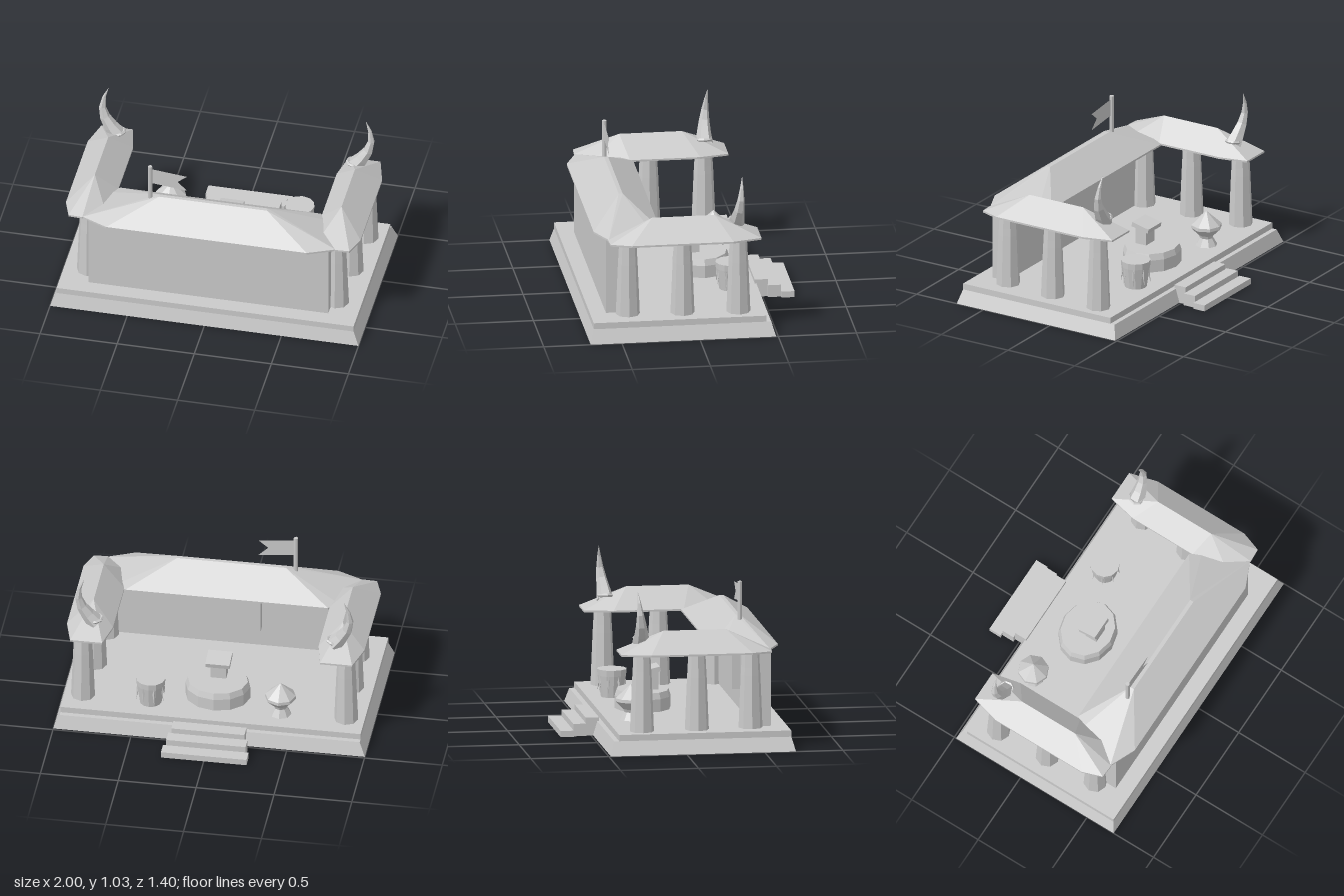
import * as THREE from 'three';
import { ConvexGeometry } from 'three/addons/geometries/ConvexGeometry.js';

const stone = new THREE.MeshStandardMaterial({ color: 0xcacaca, flatShading: true, side: THREE.DoubleSide });
stone.name = 'paleStone';

const V = (x, y, z) => new THREE.Vector3(x, y, z);

export function createModel() {
  const model = new THREE.Group();

  const add = (name, geometry, x = 0, y = 0, z = 0) => {
    const mesh = new THREE.Mesh(geometry, stone);
    mesh.name = name;
    mesh.position.set(x, y, z);
    model.add(mesh);
    return mesh;
  };

  // box given by its limits
  const box = (name, x0, x1, y0, y1, z0, z1) =>
    add(name, new THREE.BoxGeometry(x1 - x0, y1 - y0, z1 - z0),
      (x0 + x1) / 2, (y0 + y1) / 2, (z0 + z1) / 2);

  // hollow box without an underside, narrowing from bottom to top limits [halfWidth, y, zBack, zFront]
  const shell = (name, bottom, top) => {
    const geometry = new THREE.BoxGeometry(2, 2, 2);
    const index = Array.from(geometry.index.array);
    index.splice(18, 6);
    geometry.setIndex(index);
    const p = geometry.attributes.position;
    for (let i = 0; i < p.count; i++) {
      const [w, y, zBack, zFront] = p.getY(i) > 0 ? top : bottom;
      p.setXYZ(i, p.getX(i) * w, y, p.getZ(i) > 0 ? zFront : zBack);
    }
    return add(name, geometry);
  };

  // faceted turned shape from [radius, height] pairs
  const turned = (name, profile, sides, x, z) =>
    add(name, new THREE.LatheGeometry(profile.map(p => new THREE.Vector2(...p)), sides), x, 0, z);

  // hipped roof: eave outline with a thin edge, rising to a ridge
  const roof = (name, outline, ridge) => {
    const points = ridge.map(p => V(...p));
    for (const [x, z] of outline) points.push(V(x, 0.622, z), V(x, 0.634, z));
    return add(name, new ConvexGeometry(points));
  };

  // base platform: hollow sloping foot and a floor
  shell('platformFoot', [1, 0, -0.487, 0.7], [0.963, 0.09, -0.46, 0.675]);
  box('platformFloor', -0.963, 0.963, 0.09, 0.13, -0.428, 0.675);

  // hollow entrance steps at the back
  [[0.235, 0.115, -0.45], [0.255, 0.08, -0.532], [0.275, 0.04, -0.616]].forEach(([w, h, z], i) =>
    shell('step' + (i + 1), [w, 0, z - 0.084, z], [w, h, z - 0.084, z]));

  // front wall and the panel on its inner side
  box('wall', -0.777, 0.777, 0.13, 0.63, 0.465, 0.573);
  box('wallPanel', -0.185, 0.185, 0.265, 0.495, 0.41, 0.465);

  // main roof
  const mainOutline = [];
  for (const s of [-1, 1]) {
    mainOutline.push([s * 0.65, 0.635], [s * 0.82, 0.56], [s * 0.71, 0.27], [s * 0.65, 0.21]);
  }
  roof('mainRoof', mainOutline, [
    [-0.35, 0.775, 0.435], [0.35, 0.775, 0.435], [-0.35, 0.775, 0.41], [0.35, 0.775, 0.41],
  ]);

  for (const s of [-1, 1]) {
    const side = s > 0 ? 'left' : 'right';

    // side wing roof
    roof(side + 'WingRoof', [
      [0.905, -0.405], [0.70, -0.405], [0.66, -0.22], [0.66, 0.23], [0.70, 0.45],
      [0.82, 0.565], [0.91, 0.56], [0.955, 0.43], [0.955, -0.22],
    ].map(([x, z]) => [s * x, z]), [[s * 0.8, 0.765, -0.12], [s * 0.8, 0.765, 0.28]]);

    // tapered columns
    for (const [x, z] of [[0.845, -0.265], [0.825, 0.09], [0.805, 0.437]]) {
      turned(side + 'Column', [[0.077, 0.13], [0.063, 0.47], [0.06, 0.52], [0.054, 0.64]], 8, s * x, z);
    }

    // curved horn, thinning to the tip
    const curve = new THREE.CatmullRomCurve3([
      V(s * 0.765, 0.69, -0.26), V(s * 0.825, 0.765, -0.265), V(s * 0.868, 0.85, -0.275),
      V(s * 0.866, 0.94, -0.283), V(s * 0.835, 1.025, -0.29),
    ]);
    const rings = 5, sides = 6;
    const horn = new THREE.TubeGeometry(curve, rings, 1, sides);
    const pos = horn.attributes.position;
    const v = V(0, 0, 0);
    for (let i = 0; i < pos.count; i++) {
      const t = Math.floor(i / (sides + 1)) / rings;
      const centre = curve.getPointAt(t);
      v.fromBufferAttribute(pos, i).sub(centre).multiplyScalar(0.055 * (1 - t) + 0.001).add(centre);
      pos.setXYZ(i, v.x, v.y, v.z);
    }
    add(side + 'Horn', horn);

    // low collar around the foot of the horn
    const collar = add(side + 'HornCollar', new THREE.TorusGeometry(0.043, 0.011, 5, 8), s * 0.765, 0.715, -0.26);
    collar.quaternion.setFromUnitVectors(V(0, 0, 1), V(s * 0.2, 0.98, 0).normalize());
  }

  // round dais
  turned('dais', [[0.208, 0.13], [0.208, 0.21], [0.193, 0.25], [0, 0.25]], 12, 0, -0.135)
    .scale.z = 0.86;

  // lectern with tilted board
  box('lecternPost', -0.05, 0.05, 0.25, 0.375, -0.12, -0.04);
  add('lecternBoard', new THREE.BoxGeometry(0.155, 0.03, 0.125), 0, 0.373, -0.092).rotation.x = -0.22;

  // drum with tapered lacing around it
  turned('drum', [[0, 0.13], [0.07, 0.13], [0.092, 0.27], [0.095, 0.31], [0, 0.31]], 12, 0.41, -0.27);
  for (let i = 0; i < 8; i++) {
    const a = (i + 0.5) * Math.PI / 4;
    const lace = add('drumLace', new THREE.ConeGeometry(0.014, 0.13, 4),
      0.41 + 0.085 * Math.sin(a), 0.225, -0.27 + 0.085 * Math.cos(a));
    lace.rotation.set(Math.PI - 0.15, a, 0, 'YXZ');
  }

  // covered urn
  turned('urn', [
    [0, 0.13], [0.07, 0.13], [0.042, 0.18], [0.05, 0.2], [0.1, 0.25], [0.098, 0.27], [0, 0.36],
  ], 8, -0.425, -0.273);

  // flag and pole
  add('flagPole', new THREE.CylinderGeometry(0.014, 0.014, 0.28, 8), -0.41, 0.86, 0.427);
  const flag = new THREE.Shape([
    [-0.405, 0.87], [-0.17, 0.845], [-0.232, 0.905], [-0.17, 0.955], [-0.405, 0.98],
  ].map(p => new THREE.Vector2(...p)));
  add('flag', new THREE.ShapeGeometry(flag), 0, 0, 0.427);

  return model;
}
